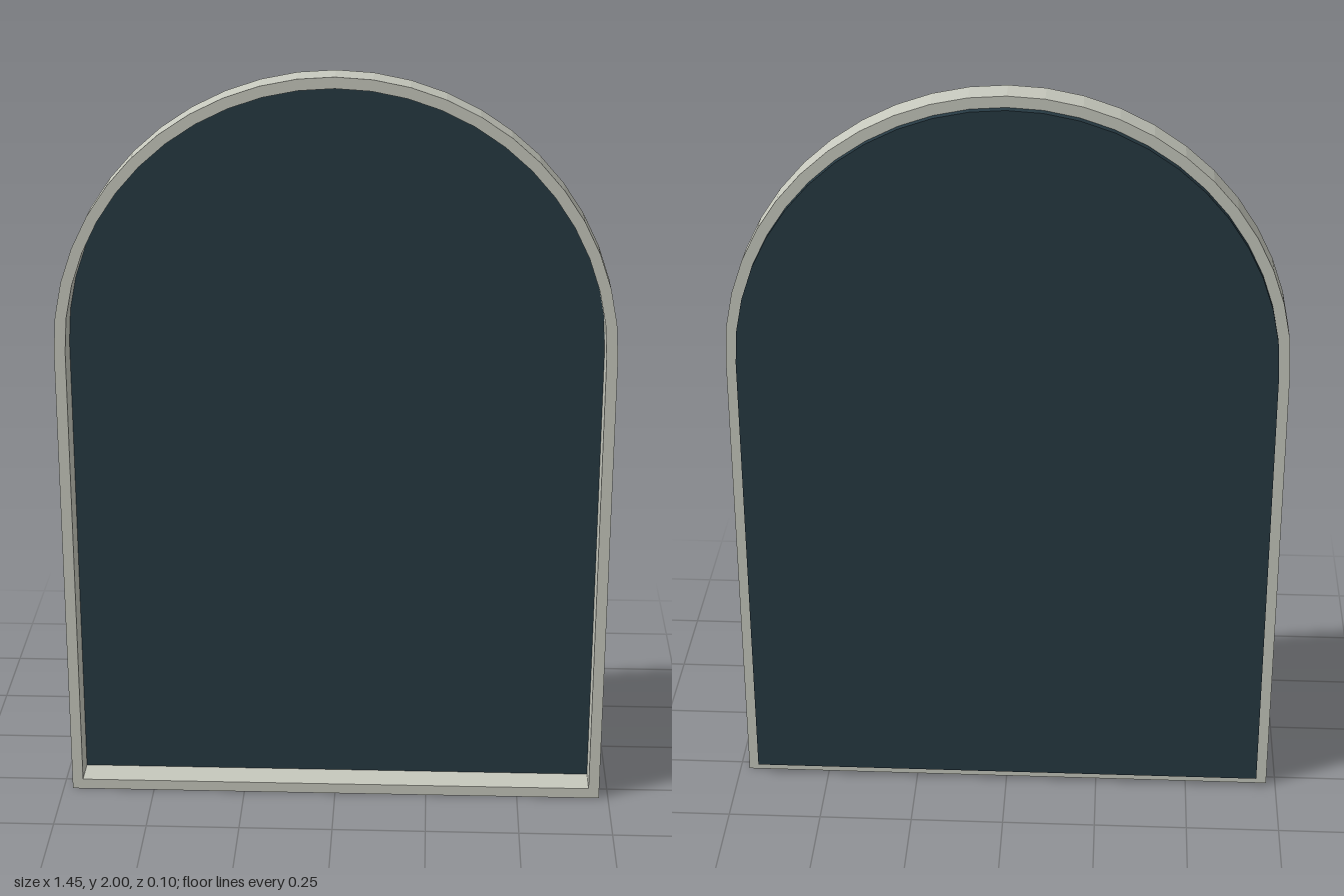
import * as THREE from 'three';

const HALF_WIDTH = 0.725, SPRING = 1.275, BORDER = 0.029;
const FRONT = 0.052, SEAM = -0.03, BACK = -0.052;

// Arched outline, drawn inward by an inset
function archOutline(target, inset) {
  const r = HALF_WIDTH - inset;
  target.moveTo(-r, inset);
  target.lineTo(r, inset);
  target.lineTo(r, SPRING);
  target.absarc(0, SPRING, r, 0, Math.PI, false);
  target.closePath();
  return target;
}

function slab(name, shape, zBack, zFront, color) {
  const geometry = new THREE.ExtrudeGeometry(shape, {
    depth: zFront - zBack, bevelEnabled: false, curveSegments: 12,
  });
  geometry.translate(0, 0, zBack);
  const mesh = new THREE.Mesh(geometry, new THREE.MeshStandardMaterial({ color, flatShading: true }));
  mesh.name = name;
  return mesh;
}

export function createModel() {
  const model = new THREE.Group();
  model.name = 'archedWindow';

  // Thin surround with an open middle
  const frameShape = archOutline(new THREE.Shape(), 0);
  frameShape.holes.push(archOutline(new THREE.Path(), BORDER));
  model.add(slab('frame', frameShape, SEAM, FRONT, 0xc6c8bd));

  // Dark pane set against the back of the frame
  model.add(slab('pane', archOutline(new THREE.Shape(), BORDER), BACK, SEAM, 0x263942));

  return model;
}
